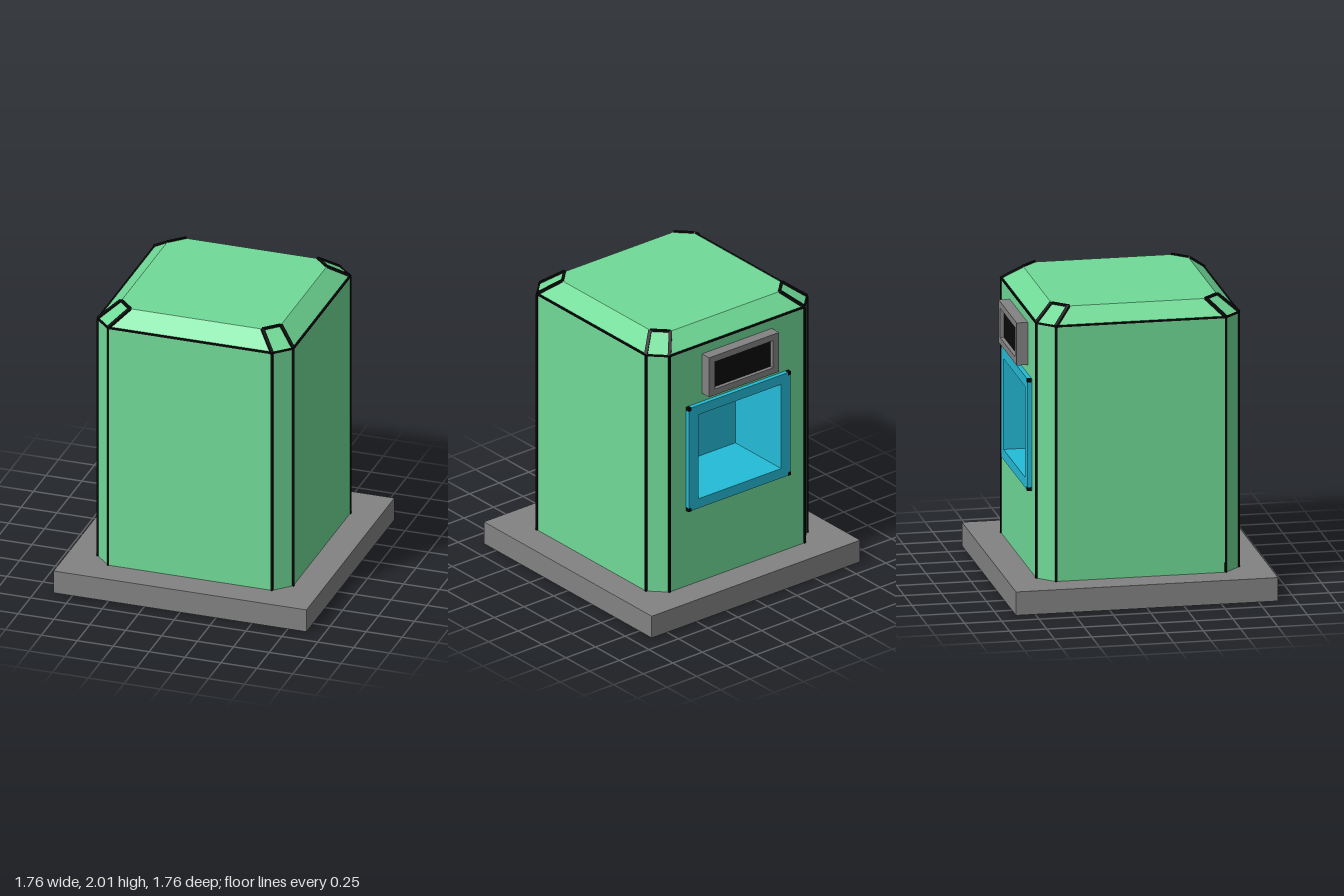
import * as THREE from 'three';

const mat = (name, color) => {
  const m = new THREE.MeshStandardMaterial({ color });
  m.name = name;
  return m;
};

// Flat-shaded geometry from convex polygons, corners counter-clockwise from outside
function polyGeometry(polys) {
  const pos = [];
  for (const p of polys)
    for (let i = 1; i < p.length - 1; i++) pos.push(...p[0], ...p[i], ...p[i + 1]);
  const g = new THREE.BufferGeometry();
  g.setAttribute('position', new THREE.Float32BufferAttribute(pos, 3));
  g.computeVertexNormals();
  return g;
}

// Octagonal ring: half width h, flat sides reaching c
const ring = (y, h, c) =>
  [[-c, h], [c, h], [h, c], [h, -c], [c, -h], [-c, -h], [-h, -c], [-h, c]].map(([x, z]) => [x, y, z]);

const rect = (Type, x, y0, y1) =>
  new Type().moveTo(-x, y0).lineTo(x, y0).lineTo(x, y1).lineTo(-x, y1).closePath();

function holedRect(outer, inner) {
  const s = rect(THREE.Shape, ...outer);
  s.holes.push(rect(THREE.Path, ...inner));
  return s;
}

export function createModel() {
  const model = new THREE.Group();
  model.name = 'kiosk';
  const green = mat('green', 0x70da97);
  const grey = mat('grey', 0x828282);
  const blue = mat('blue', 0x24bcd8);
  const black = mat('black', 0x0a0a0a);

  const add = (name, geometry, material, x = 0, y = 0, z = 0) => {
    const m = new THREE.Mesh(geometry, material);
    m.name = name;
    m.position.set(x, y, z);
    model.add(m);
    return m;
  };

  // Thin square trim between two points
  const trim = (name, a, b, w) => {
    const A = new THREE.Vector3(...a), B = new THREE.Vector3(...b);
    const m = add(name, new THREE.BoxGeometry(w, w, A.distanceTo(B)), black);
    m.position.copy(A).add(B).multiplyScalar(0.5);
    m.lookAt(B);
  };

  // Base slab
  add('base', new THREE.BoxGeometry(1.76, 0.16, 1.76), grey, 0, 0.08, 0);

  // Chamfered body and sloped roof edge; the back wall is separate
  const low = ring(0.16, 0.68, 0.57), eave = ring(1.9, 0.68, 0.57), top = ring(2, 0.555, 0.46);
  const polys = [top];
  for (let i = 0; i < 8; i++) {
    const j = (i + 1) % 8;
    if (i !== 4) polys.push([low[i], low[j], eave[j], eave[i]]);
    polys.push([eave[i], eave[j], top[j], top[i]]);
  }
  add('body', polyGeometry(polys), green);

  // Back wall with an opening for the niche
  const opening = [0.35, 0.79, 1.41];
  const wall = new THREE.ShapeGeometry(holedRect([0.57, 0.16, 1.9], opening));
  add('backWall', wall, green, 0, 0, -0.68).rotation.y = Math.PI;

  // Black seams along the chamfers, eaves and roof corners
  for (let i = 0; i < 8; i++) {
    const j = (i + 1) % 8;
    trim('cornerSeam', low[i], eave[i], 0.014);
    trim('eaveSeam', eave[i], eave[j], 0.012);
    trim('roofCornerSeam', eave[i], top[i], 0.022);
    if (i % 2) trim('roofCornerSeam', top[i], top[j], 0.018);
  }

  // Niche frame and the five inner walls of the niche
  const frame = new THREE.ExtrudeGeometry(holedRect([0.43, 0.72, 1.48], opening), { depth: 0.03, bevelEnabled: false });
  add('nicheFrame', frame, blue, 0, 0, -0.68).rotation.y = Math.PI;
  const [ox, oy0, oy1] = opening;
  const section = z => [[-ox, oy0, z], [ox, oy0, z], [ox, oy1, z], [-ox, oy1, z]];
  const mouth = section(-0.68), deep = section(-0.23);
  const inner = [[...deep].reverse()];
  for (let i = 0; i < 4; i++) {
    const j = (i + 1) % 4;
    inner.push([mouth[i], deep[i], deep[j], mouth[j]]);
  }
  add('niche', polyGeometry(inner), blue);
  for (const x of [-0.42, 0.42])
    for (const y of [0.73, 1.47])
      add('frameCorner', new THREE.BoxGeometry(0.024, 0.024, 0.03), black, x, y, -0.697);

  // Display housing with a recessed screen
  const housing = new THREE.ExtrudeGeometry(holedRect([0.295, 1.54, 1.83], [0.245, 1.585, 1.785]), { depth: 0.075, bevelEnabled: false });
  add('displayHousing', housing, grey, 0, 0, -0.68).rotation.y = Math.PI;
  add('screen', new THREE.BoxGeometry(0.49, 0.2, 0.008), black, 0, 1.685, -0.725);

  return model;
}
